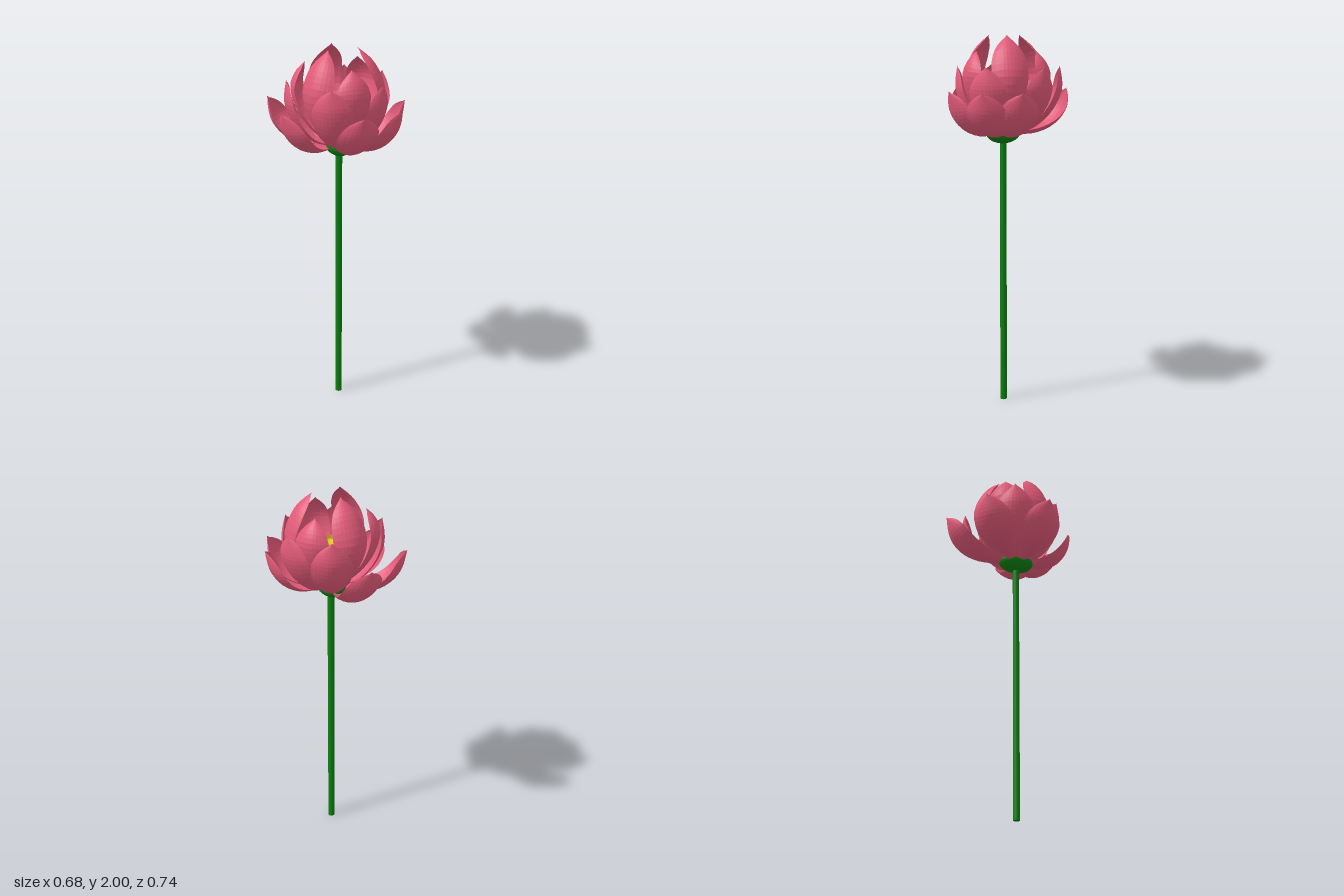
import * as THREE from 'three';

const CX = 0.005, CZ = 0.04; // flower axis

const petalMat = new THREE.MeshStandardMaterial({ color: 0xe25a78, side: THREE.DoubleSide, flatShading: true });
const greenMat = new THREE.MeshStandardMaterial({ color: 0x0a800f });
const yellowMat = new THREE.MeshStandardMaterial({ color: 0xe0c810 });

// Centre lines as [radius, height], from base to tip
const OUTER = [[0.03, 1.48], [0.15, 1.475], [0.245, 1.515], [0.31, 1.6], [0.335, 1.715]];
const MIDDLE = [[0.03, 1.48], [0.13, 1.51], [0.215, 1.6], [0.26, 1.72], [0.25, 1.84]];
const OPEN = [[0.03, 1.49], [0.12, 1.55], [0.2, 1.66], [0.235, 1.78], [0.215, 1.86], [0.165, 1.92]];
const TALL = [[0.03, 1.49], [0.12, 1.55], [0.19, 1.66], [0.215, 1.79], [0.165, 1.92], [0.085, 2.0]];

// Half-width along the petal, as [position, fraction of the maximum]
const outline = new THREE.SplineCurve(
  [[0, 0.22], [0.2, 0.54], [0.4, 0.85], [0.6, 1], [0.76, 0.95], [0.88, 0.7], [0.95, 0.34], [0.975, 0.13], [1, 0]]
    .map(([t, w]) => new THREE.Vector2(t, w)));

// Cupped petal: a grid swept along its centre line, edges bent toward the inside
function petalGeometry(profile, reach, halfWidth, cup) {
  const line = new THREE.SplineCurve(profile.map(([r, y]) => new THREE.Vector2(r * reach, y)));
  const rows = 24, cols = 10, pos = [], index = [];
  for (let i = 0; i <= rows; i++) {
    const o = outline.getPoint(i / rows);
    const t = Math.min(1, Math.max(0, o.x));
    const c = line.getPointAt(t), d = line.getTangentAt(t);
    const w = halfWidth * Math.max(0, o.y);
    for (let j = 0; j <= cols; j++) {
      const u = (j / cols) * 2 - 1;
      const lift = cup * w * u * u;
      pos.push(c.x - d.y * lift, c.y + d.x * lift, w * u);
    }
  }
  for (let i = 0; i < rows; i++) {
    for (let j = 0; j < cols; j++) {
      const a = i * (cols + 1) + j, b = a + cols + 1;
      index.push(a, a + 1, b, a + 1, b + 1, b);
    }
  }
  const g = new THREE.BufferGeometry();
  g.setAttribute('position', new THREE.Float32BufferAttribute(pos, 3));
  g.setIndex(index);
  g.computeVertexNormals();
  return g;
}

// Ring of petals; each entry is [angle from +x toward +z in degrees, reach, profile]
function petalRing(name, entries, halfWidth, cup) {
  const ring = new THREE.Group();
  ring.name = name;
  ring.position.set(CX, 0, CZ);
  for (const [angle, reach, profile] of entries) {
    const petal = new THREE.Mesh(petalGeometry(profile, reach, halfWidth, cup), petalMat);
    petal.name = 'petal';
    petal.rotation.y = -THREE.MathUtils.degToRad(angle);
    ring.add(petal);
  }
  return ring;
}

export function createModel() {
  const model = new THREE.Group();
  model.name = 'flower';

  const add = (name, geometry, material, y) => {
    const mesh = new THREE.Mesh(geometry, material);
    mesh.name = name;
    mesh.position.set(CX, y, CZ);
    model.add(mesh);
    return mesh;
  };

  // Stem and swollen flower base
  add('stem', new THREE.CylinderGeometry(0.018, 0.018, 1.45, 12), greenMat, 0.725);
  add('flowerBase', new THREE.SphereGeometry(1, 24, 16), greenMat, 1.49).scale.set(0.07, 0.06, 0.1);

  // Seed head: tapered cup with a shallow dished top
  const cup = [[0.045, 0], [0.055, 0.1], [0.065, 0.22], [0.05, 0.2], [0.03, 0.188], [0, 0.183]];
  add('seedHead', new THREE.LatheGeometry(cup.map(([r, y]) => new THREE.Vector2(r, y)), 32), yellowMat, 1.52);

  // Low spreading petals, then the upright ones, then the closed heart
  model.add(petalRing('outerPetals', [
    [-90, 1.22, OUTER], [220, 1.18, OUTER], [165, 1.07, OUTER],
    [90, 0.98, OUTER], [49, 1.06, OUTER], [15, 1.03, OUTER],
  ], 0.112, 0.45));
  model.add(petalRing('middlePetals', [
    [122, 0.97, MIDDLE], [52, 1.02, MIDDLE], [-15, 1.15, MIDDLE],
    [-62, 1.2, MIDDLE], [197, 1.08, MIDDLE],
  ], 0.105, 0.42));
  model.add(petalRing('innerPetals', [
    [90, 0.98, OPEN], [151, 1.02, TALL], [215, 1.08, OPEN],
    [-90, 1.14, TALL], [-36, 1.1, OPEN], [21, 1.1, TALL],
  ], 0.095, 0.45));

  return model;
}
